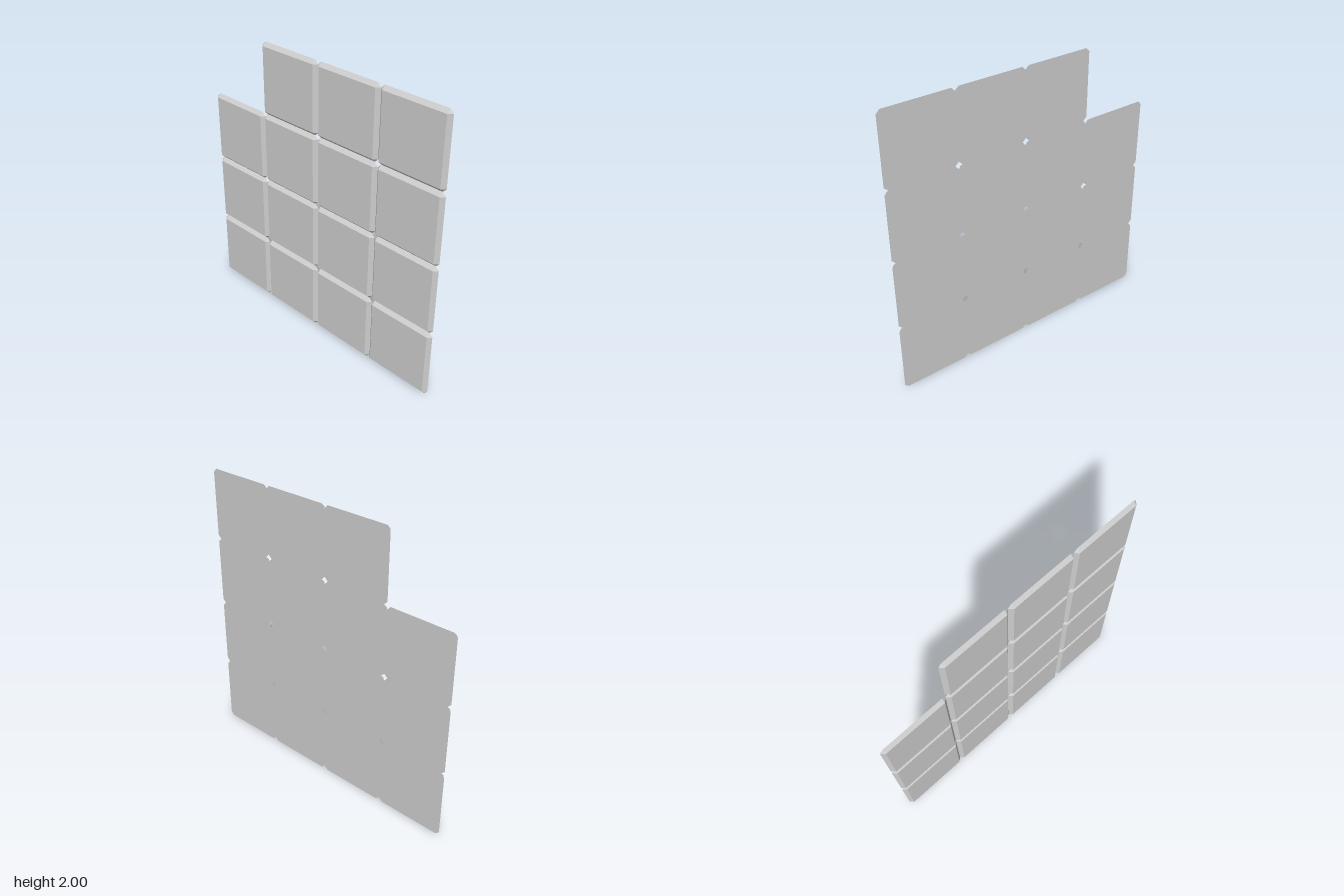
import * as THREE from 'three';
import { ConvexGeometry } from 'three/addons/geometries/ConvexGeometry.js';

const PITCH = 0.5;    // tile spacing
const BEVEL = 0.025;  // bevel width and corner cut
const DEPTH = 0.025;  // tile thickness

// Bevelled tile: square front face, back face with its corners cut off
function tileGeometry() {
  const outer = PITCH / 2, inner = outer - BEVEL, z = DEPTH / 2;
  const points = [];
  for (const sx of [-1, 1]) {
    for (const sy of [-1, 1]) {
      points.push(
        new THREE.Vector3(sx * inner, sy * inner, z),
        new THREE.Vector3(sx * outer, sy * inner, -z),
        new THREE.Vector3(sx * inner, sy * outer, -z)
      );
    }
  }
  return new ConvexGeometry(points);
}

export function createModel() {
  const group = new THREE.Group();
  group.name = 'tilePanel';
  const material = new THREE.MeshStandardMaterial({ color: 0xcccccc, flatShading: true });
  const geometry = tileGeometry();

  // Four by four grid without the upper tile at the model's right
  for (let row = 0; row < 4; row++) {
    for (let col = 0; col < 4; col++) {
      if (row === 3 && col === 0) continue;
      const tile = new THREE.Mesh(geometry, material);
      tile.name = `tileRow${row + 1}Column${col + 1}`;
      tile.position.set((col - 1.5) * PITCH, (row + 0.5) * PITCH, 0);
      group.add(tile);
    }
  }
  return group;
}
